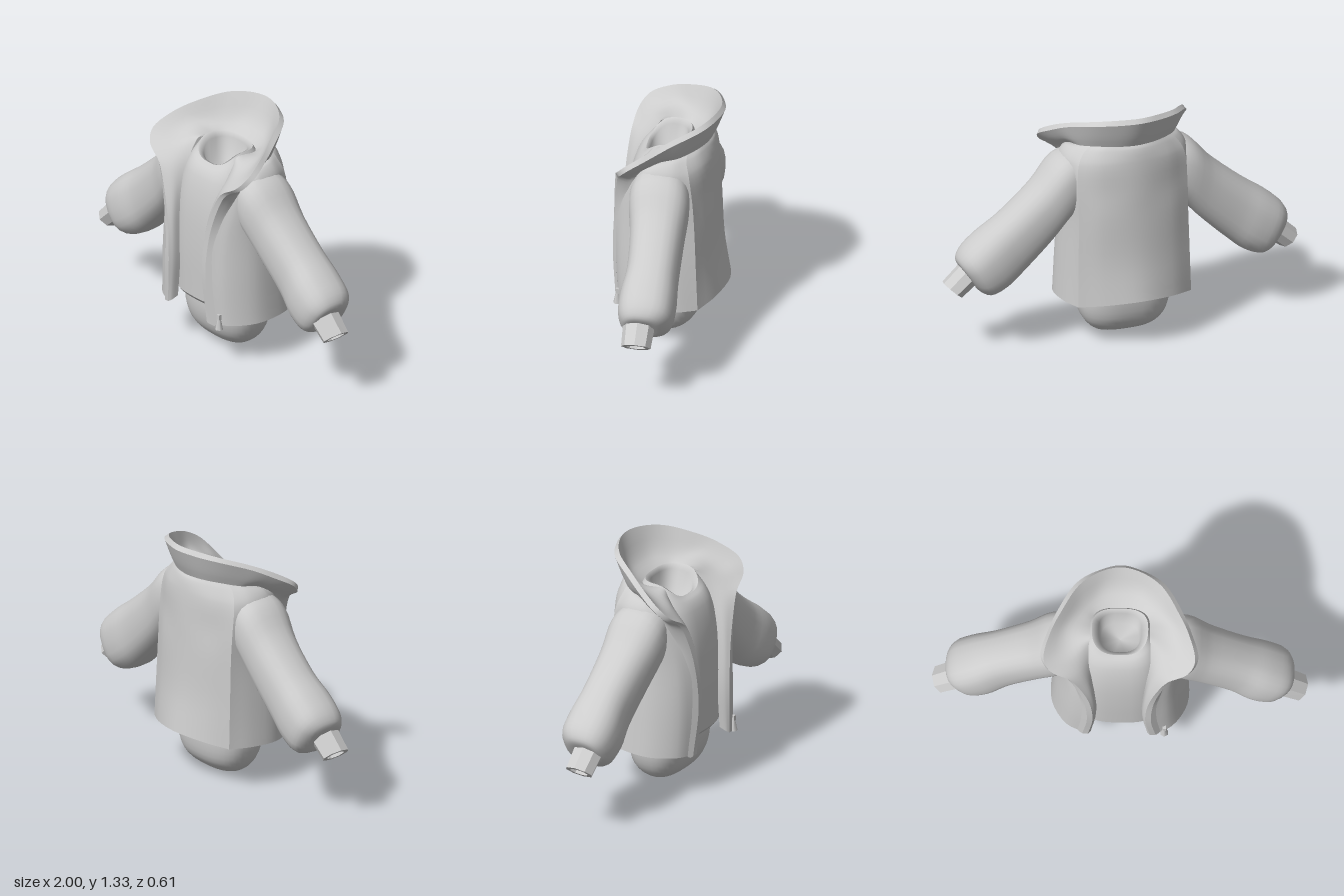
import * as THREE from 'three';

const cloth = new THREE.MeshStandardMaterial({ color: 0xcccccc, side: THREE.DoubleSide });
cloth.name = 'light grey cloth';
const V = (p) => new THREE.Vector3(...p);
const flip = (p) => new THREE.Vector3(-p.x, p.y, p.z);
const transpose = (g) => g[0].map((_, i) => g.map((r) => r[i]));
const spline = (pts, n) => new THREE.CatmullRomCurve3(pts, false, 'centripetal').getPoints((pts.length - 1) * n);
// Subdivide a point grid along its first direction
const smooth = (rows, n) => transpose(transpose(rows).map((line) => spline(line, n)));
// Extend a half line ending at x = 0 by its mirror image
const whole = (line) => [...line, ...line.slice(0, -1).reverse().map(flip)];

// Smooth surface through rows of points, optionally closed around each row
function surface(name, rows, closed = false) {
  const w = rows[0].length, idx = [];
  for (let r = 0; r < rows.length - 1; r++) {
    for (let c = 0; c < (closed ? w : w - 1); c++) {
      const d = (c + 1) % w, a = r * w + c, b = r * w + d;
      idx.push(a, b, a + w, b, b + w, a + w);
    }
  }
  const g = new THREE.BufferGeometry().setFromPoints(rows.flat());
  g.setIndex(idx);
  g.computeVertexNormals();
  const m = new THREE.Mesh(g, cloth);
  m.name = name;
  return m;
}

// Rounded-square coordinate on a unit ring
function unit(i, n, e) {
  const t = (i / n) * Math.PI * 2, c = Math.cos(t), s = Math.sin(t);
  return [Math.sign(c) * Math.abs(c) ** (2 / e), Math.sign(s) * Math.abs(s) ** (2 / e)];
}

// Horizontal ring: [y, half width, front z, back z, front dip]
function torsoRing([y, rx, zf, zb, dip = 0], e = 2.8, n = 40) {
  return Array.from({ length: n }, (_, i) => {
    const [c, s] = unit(i, n, e);
    return new THREE.Vector3(rx * c, y - dip * Math.max(0, s) ** 2, (zf + zb) / 2 + s * (zf - zb) / 2);
  });
}

// Ring across an arm: [top x, top y, bottom x, bottom y, front z, back z]
function armRing([tx, ty, bx, by, zf, zb], n = 24, e = 2.5) {
  return Array.from({ length: n }, (_, i) => {
    const [c, s] = unit(i, n, e);
    return new THREE.Vector3((tx + bx) / 2 + c * (tx - bx) / 2, (ty + by) / 2 + c * (ty - by) / 2,
      (zf + zb) / 2 + s * (zf - zb) / 2);
  });
}

function addTorso(group) {
  const hips = [[0.32, 0.25, 0.19, -0.16], [0.2, 0.255, 0.187, -0.16], [0.1, 0.225, 0.158, -0.137],
    [0.035, 0.165, 0.1, -0.075], [0.003, 0.01, 0.025, 0.015]].map((r) => torsoRing(r, 2.5));
  group.add(surface('hips', smooth(hips, 3), true));

  const shirt = [[0.31, 0.25, 0.25, -0.19], [0.6, 0.25, 0.255, -0.19], [0.85, 0.24, 0.24, -0.18],
    [1.0, 0.22, 0.205, -0.16], [1.09, 0.185, 0.175, -0.12, 0.04], [1.15, 0.15, 0.145, -0.09, 0.08]].map((r) => torsoRing(r));
  group.add(surface('shirt', smooth(shirt, 4), true));
  const hem = torsoRing([0.29, 0.24, 0.235, -0.18]);
  group.add(surface('shirtHem', [shirt[0], hem, torsoRing([0.29, 0.1, 0.1, -0.1])], true));
  // Hollow neck with a closed floor
  const neck = [[1.15, 0.15, 0.145, -0.09, 0.08], [1.13, 0.115, 0.125, -0.07, 0.07],
    [1.0, 0.1, 0.11, -0.06], [0.99, 0.001, 0.03, 0.029]].map((r) => torsoRing(r));
  group.add(surface('neckHole', neck, true));
}

function addJacketBody(group) {
  // Half sections from the front opening round to the middle of the back
  const half = [
    [[0.18, 0.23, 0.28], [0.28, 0.235, 0.235], [0.36, 0.24, 0.11], [0.36, 0.245, -0.05], [0.32, 0.25, -0.18], [0.19, 0.27, -0.255], [0, 0.285, -0.302]],
    [[0.18, 0.5, 0.29], [0.27, 0.5, 0.24], [0.345, 0.5, 0.11], [0.345, 0.5, -0.04], [0.315, 0.5, -0.17], [0.19, 0.5, -0.23], [0, 0.5, -0.265]],
    [[0.2, 0.75, 0.275], [0.27, 0.75, 0.22], [0.33, 0.75, 0.1], [0.33, 0.75, -0.04], [0.31, 0.75, -0.16], [0.19, 0.75, -0.22], [0, 0.75, -0.25]],
    [[0.24, 0.9, 0.23], [0.29, 0.9, 0.18], [0.335, 0.9, 0.09], [0.335, 0.9, -0.04], [0.31, 0.9, -0.15], [0.18, 0.9, -0.21], [0, 0.9, -0.245]],
    [[0.29, 1.05, 0.15], [0.31, 1.05, 0.13], [0.345, 1.05, 0.07], [0.345, 1.05, -0.04], [0.3, 1.05, -0.13], [0.18, 1.06, -0.2], [0, 1.07, -0.235]],
    [[0.3, 1.1, 0.1], [0.3, 1.1, 0.08], [0.31, 1.11, 0.05], [0.3, 1.12, -0.04], [0.26, 1.12, -0.11], [0.17, 1.13, -0.175], [0, 1.14, -0.22]],
    [[0.27, 1.11, 0.07], [0.27, 1.11, 0.05], [0.27, 1.12, 0.02], [0.26, 1.14, -0.04], [0.21, 1.155, -0.11], [0.14, 1.16, -0.17], [0, 1.16, -0.205]],
  ].map((r) => r.map(V));
  const rows = smooth(half, 4);
  const side = rows.map((r) => spline(r.slice(0, 5), 4));
  const back = rows.map((r) => spline(whole(r.slice(4)), 4));
  const mirrored = side.map((r) => r.map(flip));
  const shrink = (r) => r.map((p) => new THREE.Vector3(p.x * 0.91, p.y + 0.006, p.z * 0.91));
  for (const [name, panel] of [['leftFrontPanel', side], ['rightFrontPanel', mirrored], ['backPanel', back]]) {
    const lining = panel.slice(0, 14).map(shrink);
    group.add(surface(name, panel));
    group.add(surface(name + 'Lining', lining));
    group.add(surface(name + 'Hem', [panel[0], lining[0]]));
  }
}

function addCollar(group) {
  // Sections from hem to nape: inner base, inner middle, rim, outer base
  const sections = [
    [[0.14, 0.26, 0.24], [0.15, 0.24, 0.275], [0.165, 0.23, 0.288], [0.22, 0.23, 0.265]],
    [[0.12, 0.5, 0.24], [0.125, 0.5, 0.28], [0.14, 0.5, 0.303], [0.2, 0.5, 0.28]],
    [[0.13, 0.72, 0.235], [0.135, 0.72, 0.275], [0.155, 0.72, 0.298], [0.22, 0.72, 0.26]],
    [[0.145, 0.88, 0.21], [0.16, 0.88, 0.255], [0.2, 0.89, 0.287], [0.25, 0.88, 0.22]],
    [[0.16, 1.0, 0.165], [0.2, 1.0, 0.225], [0.26, 1.01, 0.272], [0.29, 1.0, 0.17]],
    [[0.165, 1.1, 0.11], [0.25, 1.08, 0.18], [0.365, 1.08, 0.25], [0.3, 1.06, 0.13]],
    [[0.16, 1.14, 0.08], [0.28, 1.12, 0.12], [0.403, 1.14, 0.2], [0.31, 1.1, 0.08]],
    [[0.16, 1.14, 0.03], [0.28, 1.16, 0.04], [0.37, 1.215, 0.08], [0.3, 1.13, 0.02]],
    [[0.15, 1.13, -0.02], [0.235, 1.17, -0.04], [0.31, 1.265, -0.03], [0.27, 1.14, -0.06]],
    [[0.13, 1.12, -0.06], [0.18, 1.18, -0.11], [0.22, 1.31, -0.16], [0.2, 1.155, -0.14]],
    [[0.07, 1.12, -0.09], [0.1, 1.19, -0.17], [0.11, 1.33, -0.23], [0.1, 1.16, -0.195]],
    [[0, 1.12, -0.1], [0, 1.19, -0.185], [0, 1.335, -0.255], [0, 1.16, -0.212]],
  ].map((s) => s.map(V));
  const lines = transpose(sections).map((line) => spline(whole(line), 5));
  const [inner, middle, rim, base] = lines;
  // Flat rim thickness
  const outer = rim.map((p, i) => base[i].clone().sub(middle[i]).normalize().multiplyScalar(0.03).add(p));
  group.add(surface('collarInside', smooth([inner, middle, rim], 4)));
  group.add(surface('collarRim', [rim, outer]));
  const fold = outer.map((p, i) => p.clone().lerp(base[i], 0.55).add(new THREE.Vector3(0, -0.008, 0)));
  group.add(surface('collarOutside', smooth([outer, fold, base], 3)));
  group.add(surface('lapelBacking', [base, inner]));
  for (const i of [0, inner.length - 1]) {
    group.add(surface('lapelEnd', [[inner[i], middle[i], rim[i]], [base[i], base[i], outer[i]]]));
  }
}

function addSleeve(group, name, s) {
  const arm = new THREE.Group();
  arm.name = name;
  const rings = [
    [0.22, 1.1, 0.25, 0.77, 0.17, -0.12], [0.37, 1.06, 0.305, 0.73, 0.185, -0.14],
    [0.5, 0.925, 0.42, 0.6, 0.16, -0.132], [0.69, 0.765, 0.57, 0.455, 0.148, -0.13],
    [0.82, 0.67, 0.67, 0.37, 0.165, -0.138], [0.905, 0.59, 0.765, 0.332, 0.155, -0.125],
    [0.928, 0.53, 0.825, 0.362, 0.12, -0.07], [0.9, 0.475, 0.84, 0.4, 0.07, 0.01],
  ].map((r) => armRing(r));
  arm.add(surface('sleeve', smooth(rings, 4), true));
  // Six-sided hollow wrist
  const wrist = [[0.9, 0.5, 0.81, 0.4, 0.128, -0.045], [1.0, 0.405, 0.905, 0.322, 0.122, -0.038],
    [0.985, 0.392, 0.92, 0.335, 0.095, -0.012], [0.955, 0.425, 0.885, 0.36, 0.095, -0.012],
    [0.921, 0.393, 0.919, 0.392, 0.042, 0.041]].map((r) => {
    const a = armRing(r, 8, 2);
    return [...a, a[0]];
  });
  for (let r = 0; r < wrist.length - 1; r++) {
    for (let c = 0; c < 8; c++) {
      arm.add(surface('wristFacet', [wrist[r].slice(c, c + 2), wrist[r + 1].slice(c, c + 2)]));
    }
  }
  arm.scale.x = s;
  group.add(arm);
}

function addZipPull(group) {
  const pull = new THREE.Group();
  pull.name = 'zipPull';
  const tab = new THREE.Mesh(new THREE.CylinderGeometry(0.01, 0.023, 0.06, 6), cloth);
  tab.name = 'zipTab';
  tab.position.y = -0.005;
  const slider = new THREE.Mesh(new THREE.BoxGeometry(0.018, 0.03, 0.018), cloth);
  slider.name = 'zipSlider';
  slider.position.y = 0.035;
  pull.add(tab, slider);
  pull.position.set(0.24, 0.246, 0.265);
  group.add(pull);
}

export function createModel() {
  const group = new THREE.Group();
  group.name = 'jacketedTorso';
  addTorso(group);
  addJacketBody(group);
  addCollar(group);
  addSleeve(group, 'leftArm', 1);
  addSleeve(group, 'rightArm', -1);
  addZipPull(group);
  return group;
}
